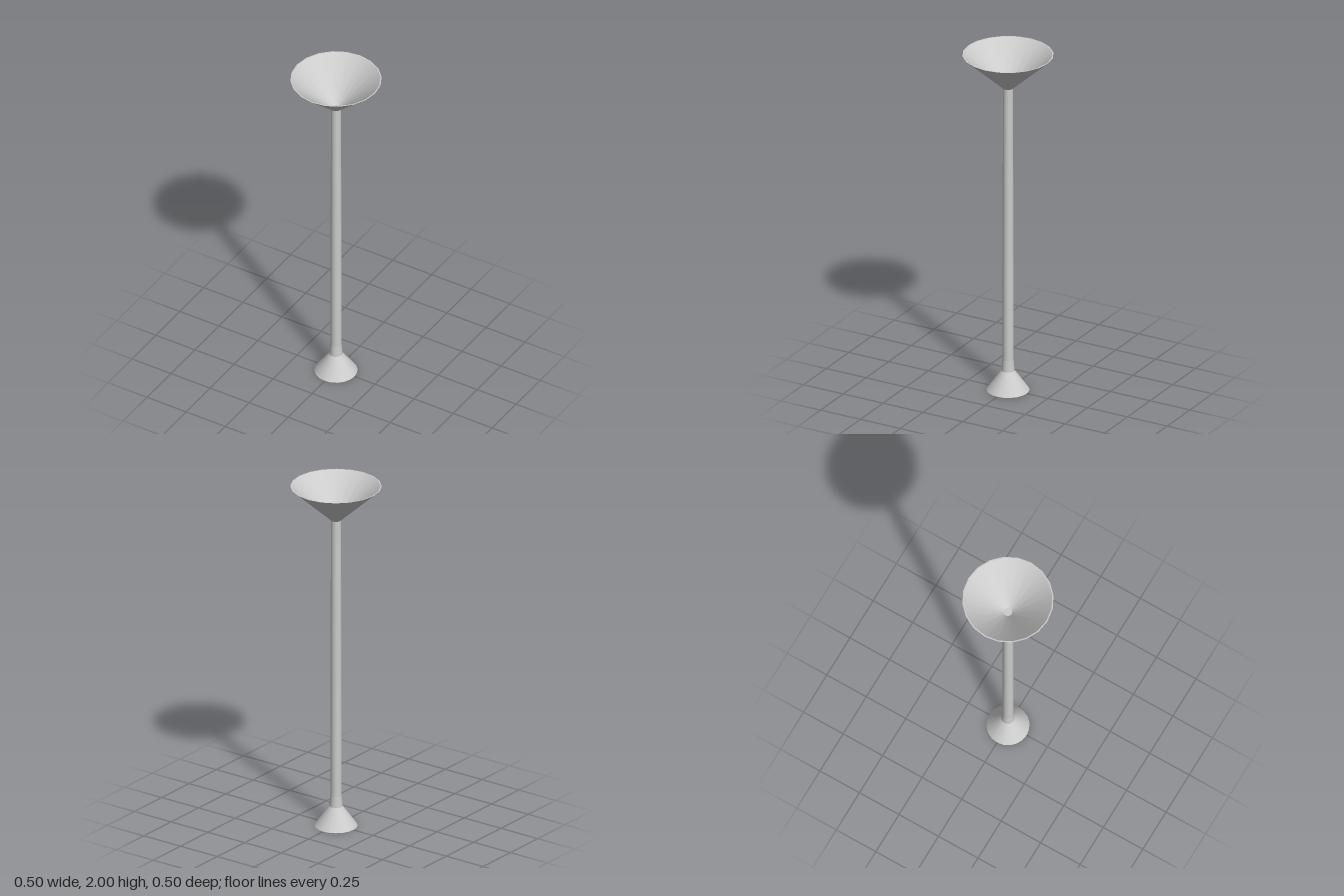
import * as THREE from 'three';

const SIDES = 20;

export function createModel() {
  const group = new THREE.Group();
  const material = new THREE.MeshStandardMaterial({ color: 0xcccccc });

  // Each profile runs upward on outer walls, so faces point outward
  const turn = (name, profile) => {
    const points = profile.map(([r, y]) => new THREE.Vector2(r, y));
    const mesh = new THREE.Mesh(new THREE.LatheGeometry(points, SIDES), material);
    mesh.name = name;
    group.add(mesh);
  };

  // Flared foot with a closed underside and a short collar
  turn('footUnderside', [[0, 0], [0.118, 0]]);
  turn('foot', [[0.118, 0], [0.036, 0.115]]);
  turn('collar', [[0.036, 0.115], [0.031, 0.18]]);

  // Slender, slightly tapering pole
  turn('pole', [[0.031, 0.18], [0.028, 1.8]]);

  // Open conical bowl: outer wall, thin rim, inner wall and floor
  turn('bowlOuter', [[0.028, 1.8], [0.25, 2]]);
  turn('bowlRim', [[0.25, 2], [0.243, 2]]);
  turn('bowlInner', [[0.243, 2], [0.023, 1.803]]);
  turn('bowlFloor', [[0.023, 1.803], [0, 1.803]]);

  return group;
}
